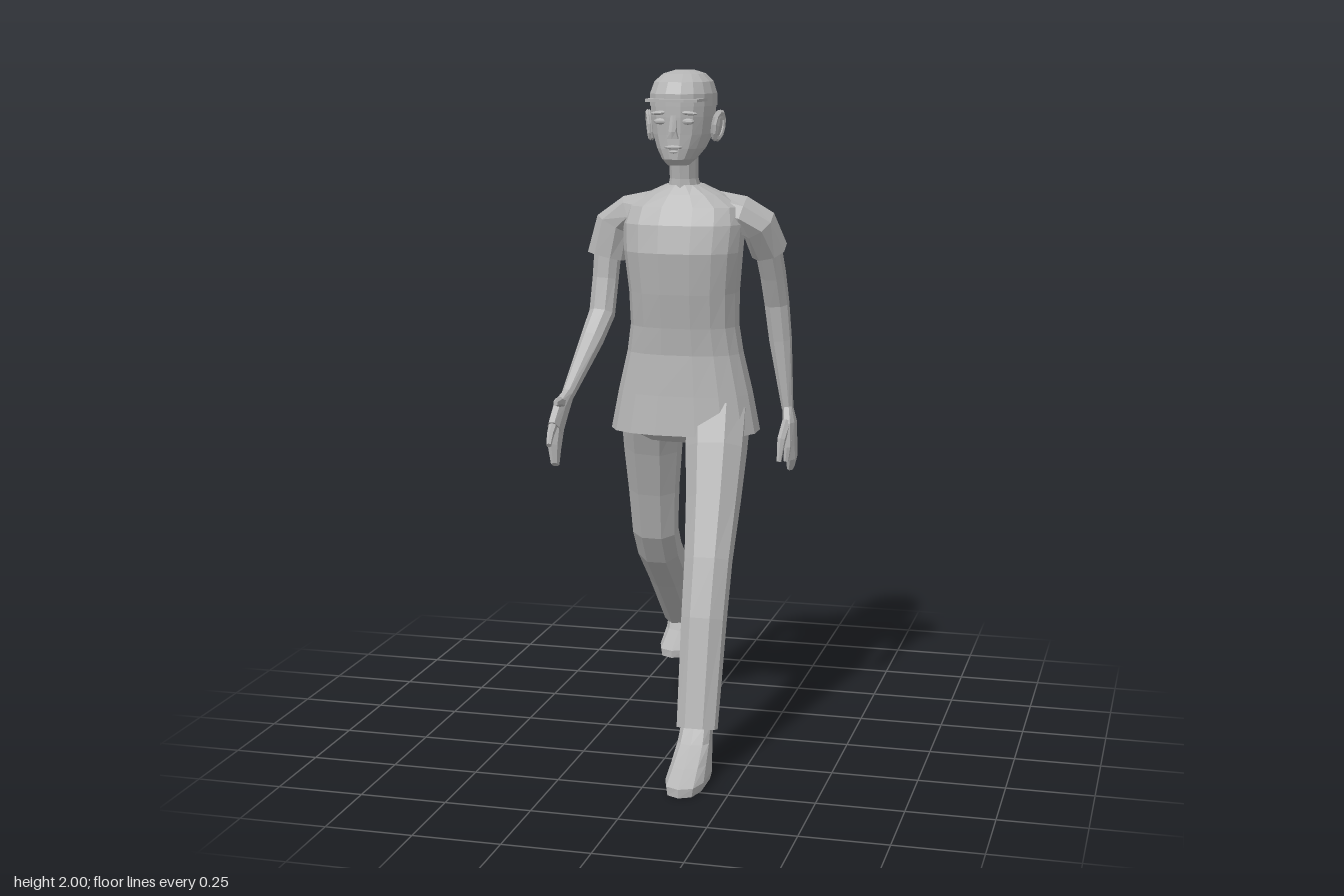
import * as THREE from 'three';

const grey = new THREE.MeshStandardMaterial({ color: 0xb4b4b4 });
grey.name = 'plain grey';

// Faceted skin through rings [x, y, z, halfWidth, halfDepth].
// Rings lie across the path, or level when flat is true; p < 1 makes them boxier.
function loft(name, rings, { n = 8, flat = false, p = 0.85 } = {}) {
  const C = rings.map(r => new THREE.Vector3(r[0], r[1], r[2]));
  const pos = [], idx = [], last = rings.length - 1;
  const pw = v => Math.sign(v) * Math.abs(v) ** p;
  rings.forEach((r, j) => {
    const t = C[Math.min(j + 1, last)].clone().sub(C[Math.max(j - 1, 0)]).normalize();
    if (flat) t.set(0, Math.sign(C[last].y - C[0].y), 0);
    const u = new THREE.Vector3(1, 0, 0).addScaledVector(t, -t.x).normalize();
    const v = t.clone().cross(u);
    for (let i = 0; i < n; i++) {
      const a = (i + 0.5) / n * Math.PI * 2;
      const q = C[j].clone().addScaledVector(u, r[3] * pw(Math.cos(a))).addScaledVector(v, r[4] * pw(Math.sin(a)));
      pos.push(q.x, q.y, q.z);
    }
  });
  for (let j = 0; j < last; j++) for (let i = 0; i < n; i++) {
    const a = j * n + i, b = j * n + (i + 1) % n;
    idx.push(a, b, b + n, a, b + n, a + n);
  }
  for (let i = 1; i < n - 1; i++) {
    idx.push(0, i + 1, i, last * n, last * n + i, last * n + i + 1);
  }
  const g = new THREE.BufferGeometry();
  g.setAttribute('position', new THREE.Float32BufferAttribute(pos, 3));
  g.setIndex(idx);
  return solid(name, g);
}

function solid(name, g) {
  const flat = g.index ? g.toNonIndexed() : g;
  flat.computeVertexNormals();
  const m = new THREE.Mesh(flat, grey);
  m.name = name;
  return m;
}

function lump(name, x, y, z, sx, sy, sz) {
  const m = solid(name, new THREE.SphereGeometry(1, 8, 6).scale(sx, sy, sz));
  m.position.set(x, y, z);
  return m;
}

function makeHead() {
  const head = new THREE.Group();
  head.name = 'head';
  const level = { n: 16, flat: true, p: 0.88 };
  head.add(loft('face', [
    [0, 1.732, 0.085, 0.03, 0.04], [0, 1.75, 0.07, 0.048, 0.073], [0, 1.78, 0.045, 0.068, 0.1],
    [0, 1.82, 0.028, 0.084, 0.116], [0, 1.87, 0.025, 0.091, 0.121], [0, 1.92, 0.025, 0.092, 0.121]], level));
  head.add(loft('cap', [
    [0, 1.9, 0.024, 0.095, 0.125], [0, 1.935, 0.024, 0.094, 0.124], [0, 1.968, 0.02, 0.083, 0.108],
    [0, 1.99, 0.013, 0.06, 0.075], [0, 2, 0.01, 0.028, 0.035]], level));
  // cap visor
  const s = new THREE.Shape();
  s.moveTo(-0.085, -0.08);
  s.lineTo(-0.076, -0.17);
  s.lineTo(-0.04, -0.182);
  s.lineTo(0.04, -0.182);
  s.lineTo(0.076, -0.17);
  s.lineTo(0.085, -0.08);
  const visor = solid('visor', new THREE.ExtrudeGeometry(s, { depth: 0.008, bevelEnabled: false }).rotateX(-Math.PI / 2));
  visor.position.y = 1.914;
  head.add(visor);
  head.add(loft('nose', [[0, 1.875, 0.139, 0.009, 0.01], [0, 1.83, 0.148, 0.012, 0.016], [0, 1.81, 0.145, 0.018, 0.017]], { n: 6, flat: true }));
  head.add(lump('upperLip', 0, 1.785, 0.139, 0.027, 0.007, 0.011));
  head.add(lump('lowerLip', 0, 1.772, 0.134, 0.022, 0.008, 0.012));
  head.add(lump('chin', 0, 1.75, 0.115, 0.028, 0.016, 0.022));
  for (const side of [-1, 1]) {
    head.add(lump('eye', side * 0.04, 1.858, 0.135, 0.02, 0.009, 0.009));
    const brow = lump('brow', side * 0.043, 1.882, 0.137, 0.026, 0.006, 0.009);
    brow.rotation.z = side * -0.08;
    head.add(brow);
    const ear = lump('ear', side * 0.098, 1.842, 0.025, 0.01, 0.046, 0.026);
    ear.rotation.set(-0.15, side * -0.35, side * -0.15);
    head.add(ear);
    const rim = solid('earRim', new THREE.TorusGeometry(0.023, 0.006, 5, 10).scale(1, 1.65, 1).rotateY(Math.PI / 2));
    rim.position.set(side * 0.105, 1.842, 0.022);
    rim.rotation.copy(ear.rotation);
    head.add(rim);
  }
  return head;
}

// Arm parts from sleeve, limb and finger paths
function makeArm(name, parts) {
  const arm = new THREE.Group();
  arm.name = name;
  for (const [part, rings, n] of parts) arm.add(loft(part, rings, { n }));
  return arm;
}

export function createModel() {
  const model = new THREE.Group();
  model.name = 'walkingFigure';

  // Tunic and neck
  model.add(loft('tunic', [
    [0, 0.945, 0, 0.222, 0.135], [0, 1.06, 0, 0.2, 0.122], [0, 1.18, 0.003, 0.172, 0.109],
    [0, 1.26, 0.008, 0.16, 0.112], [0, 1.36, 0.015, 0.162, 0.122], [0, 1.48, 0.026, 0.174, 0.124],
    [0, 1.56, 0.018, 0.18, 0.115], [0, 1.61, 0.008, 0.17, 0.095], [0, 1.645, 0.004, 0.115, 0.075],
    [0, 1.672, 0.008, 0.055, 0.058]], { n: 16, flat: true, p: 0.8 }));
  model.add(loft('neck', [
    [0, 1.63, 0.01, 0.055, 0.06], [0, 1.69, 0.018, 0.04, 0.05], [0, 1.78, 0.025, 0.042, 0.055]], { n: 10, flat: true }));
  model.add(makeHead());

  // Trousers
  model.add(loft('hips', [
    [0, 0.915, 0, 0.12, 0.07], [0, 0.95, 0, 0.19, 0.11], [0, 1.03, 0, 0.185, 0.11]], { n: 12, flat: true }));
  model.add(loft('leftLeg', [
    [0.105, 1.0, 0.02, 0.095, 0.095], [0.112, 0.9, 0.075, 0.09, 0.085], [0.118, 0.76, 0.137, 0.08, 0.075],
    [0.122, 0.6, 0.212, 0.07, 0.06], [0.122, 0.44, 0.263, 0.066, 0.06], [0.122, 0.135, 0.345, 0.06, 0.047]]));
  model.add(loft('rightLeg', [
    [-0.105, 1.0, -0.02, 0.095, 0.095], [-0.115, 0.88, -0.055, 0.088, 0.08], [-0.122, 0.74, -0.09, 0.077, 0.067],
    [-0.126, 0.6, -0.12, 0.07, 0.057], [-0.126, 0.53, -0.168, 0.068, 0.06], [-0.126, 0.42, -0.29, 0.066, 0.06],
    [-0.124, 0.24, -0.458, 0.062, 0.052]]));

  // Shoes
  const shoe = { n: 10, flat: true, p: 0.75 };
  model.add(loft('leftShoe', [
    [0.12, 0, 0.436, 0.052, 0.124], [0.12, 0.025, 0.434, 0.058, 0.125], [0.12, 0.06, 0.4, 0.053, 0.09],
    [0.12, 0.105, 0.36, 0.048, 0.053], [0.122, 0.15, 0.345, 0.045, 0.04]], shoe));
  model.add(loft('rightShoe', [
    [-0.125, 0.132, -0.43, 0.052, 0.126], [-0.125, 0.155, -0.433, 0.058, 0.128], [-0.125, 0.195, -0.478, 0.054, 0.078],
    [-0.125, 0.235, -0.475, 0.048, 0.058], [-0.125, 0.28, -0.46, 0.042, 0.036]], shoe));

  // Left arm swings back
  model.add(makeArm('leftArm', [
    ['sleeve', [[0.08, 1.6, 0, 0.05, 0.07], [0.165, 1.585, -0.005, 0.05, 0.068], [0.215, 1.555, -0.02, 0.052, 0.06],
      [0.238, 1.475, -0.062, 0.054, 0.05]], 8],
    ['upperArmAndForearm', [[0.23, 1.53, -0.04, 0.04, 0.04], [0.242, 1.4, -0.098, 0.038, 0.037], [0.247, 1.31, -0.132, 0.037, 0.034],
      [0.256, 1.2, -0.145, 0.034, 0.032], [0.278, 0.99, -0.152, 0.017, 0.021]], 8],
    ['palm', [[0.278, 1.0, -0.152, 0.015, 0.02], [0.285, 0.95, -0.148, 0.02, 0.042], [0.288, 0.88, -0.148, 0.019, 0.047]], 8],
    ['fingers', [[0.288, 0.89, -0.155, 0.018, 0.042], [0.29, 0.84, -0.162, 0.016, 0.036], [0.286, 0.805, -0.168, 0.01, 0.025]], 6],
    ['thumb', [[0.282, 0.955, -0.125, 0.014, 0.018], [0.272, 0.905, -0.095, 0.013, 0.015], [0.268, 0.84, -0.078, 0.007, 0.009]], 6],
    ['indexFinger', [[0.288, 0.9, -0.118, 0.012, 0.013], [0.282, 0.835, -0.115, 0.008, 0.009]], 6],
  ]));

  // Right arm swings forward
  model.add(makeArm('rightArm', [
    ['sleeve', [[-0.08, 1.6, 0, 0.05, 0.07], [-0.165, 1.585, 0.005, 0.05, 0.068], [-0.215, 1.55, 0.01, 0.054, 0.06],
      [-0.237, 1.455, 0.018, 0.056, 0.05]], 8],
    ['upperArmAndForearm', [[-0.23, 1.52, 0.012, 0.04, 0.04], [-0.238, 1.39, 0.025, 0.038, 0.037], [-0.242, 1.29, 0.05, 0.038, 0.035],
      [-0.256, 1.22, 0.11, 0.034, 0.032], [-0.285, 1.075, 0.265, 0.017, 0.022]], 8],
    ['palm', [[-0.284, 1.08, 0.26, 0.016, 0.022], [-0.291, 1.045, 0.305, 0.02, 0.042], [-0.294, 0.99, 0.355, 0.019, 0.047]], 8],
    ['fingers', [[-0.294, 1.0, 0.34, 0.018, 0.042], [-0.29, 0.945, 0.375, 0.016, 0.036], [-0.282, 0.9, 0.395, 0.01, 0.022]], 6],
    ['indexFinger', [[-0.294, 1.01, 0.37, 0.012, 0.014], [-0.29, 0.99, 0.41, 0.01, 0.012], [-0.284, 0.965, 0.445, 0.007, 0.008]], 6],
    ['thumb', [[-0.288, 1.06, 0.305, 0.014, 0.017], [-0.282, 1.075, 0.355, 0.012, 0.014], [-0.274, 1.08, 0.41, 0.007, 0.008]], 6],
  ]));
  return model;
}
